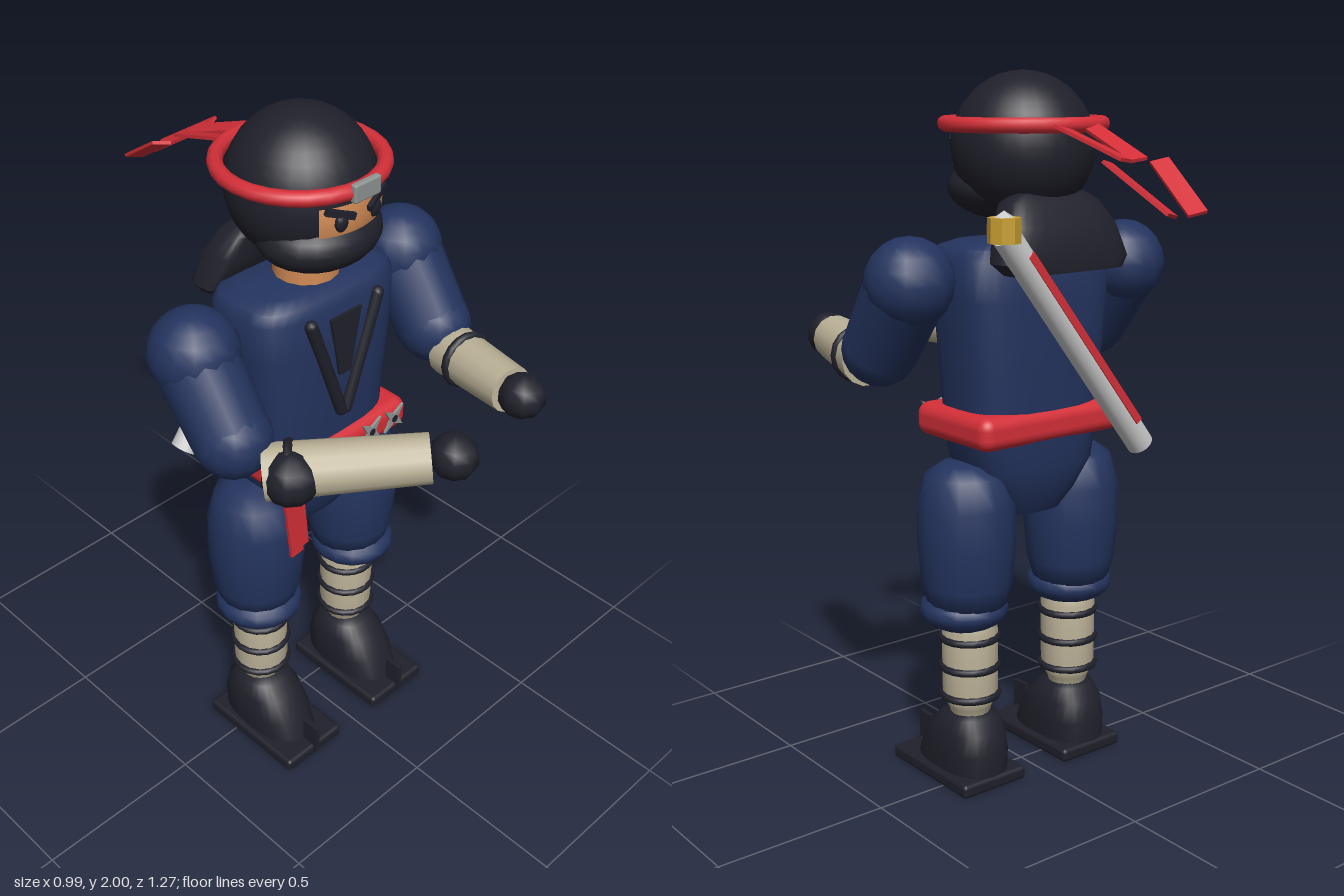
import * as THREE from 'three';
import { toCreasedNormals } from 'three/addons/utils/BufferGeometryUtils.js';
import { RoundedBoxGeometry } from 'three/addons/geometries/RoundedBoxGeometry.js';

const V = (x, y, z) => new THREE.Vector3(x, y, z);
const UP = V(0, 1, 0);

function material(name, color) {
  const m = new THREE.MeshStandardMaterial({ color, side: THREE.DoubleSide });
  m.name = name;
  return m;
}

// Closed solid through horizontal rounded-rectangle rings [y, halfWidth, halfDepth, zCentre], bottom to top
function loft(rings, power = 3, n = 28) {
  const pos = [], idx = [];
  const soft = (v) => Math.sign(v) * Math.abs(v) ** (2 / power);
  for (const [y, w, d, z = 0] of rings)
    for (let i = 0; i < n; i++) {
      const t = (i / n) * Math.PI * 2;
      pos.push(w * soft(Math.cos(t)), y, z + d * soft(Math.sin(t)));
    }
  const last = rings.length - 1, base = rings.length * n;
  for (const r of [rings[0], rings[last]]) pos.push(0, r[0], r[3] ?? 0);
  for (let i = 0; i < n; i++) {
    const k = (i + 1) % n;
    for (let j = 0; j < last; j++) {
      const a = j * n + i, b = a + n, c = j * n + k, d = c + n;
      idx.push(a, b, c, c, b, d);
    }
    idx.push(base, i, k, base + 1, last * n + k, last * n + i);
  }
  const g = new THREE.BufferGeometry();
  g.setAttribute('position', new THREE.Float32BufferAttribute(pos, 3));
  g.setIndex(idx);
  return toCreasedNormals(g, 0.8);
}

export function createModel() {
  const root = new THREE.Group();
  root.name = 'maskedWarrior';
  const navy = material('navy cloth', 0x24345f);
  const black = material('black cloth', 0x20202b);
  const red = material('red cloth', 0xd42f38);
  const beige = material('beige wrap', 0xbcb298);
  const skin = material('skin', 0xd08a55);
  const white = material('pale scabbard', 0xcdcdcd);
  const steel = material('steel', 0x8f9592);
  const gold = material('gold', 0xc9a032);

  const add = (name, geo, mat, x = 0, y = 0, z = 0, parent = root) => {
    const m = new THREE.Mesh(geo, mat);
    m.name = name;
    m.position.set(x, y, z);
    parent.add(m);
    return m;
  };
  const ball = (name, mat, c, r, s = [1, 1, 1], seg = 14) => {
    const m = add(name, new THREE.SphereGeometry(r, seg, Math.ceil(seg * 0.7)), mat, ...c);
    m.scale.set(...s);
    return m;
  };
  const aim = (m, p, q) => {
    m.position.copy(p).add(q).multiplyScalar(0.5);
    m.quaternion.setFromUnitVectors(UP, q.clone().sub(p).normalize());
    return m;
  };
  const limb = (name, mat, p, q, rp, rq, seg = 14) =>
    aim(add(name, new THREE.CylinderGeometry(rq, rp, p.distanceTo(q), seg), mat), p, q);
  const strip = (name, mat, p, q, w, d) =>
    aim(add(name, new THREE.BoxGeometry(w, p.distanceTo(q), d), mat), p, q);

  // Torso, hips and neck
  add('torso', loft([[1.05, 0.215, 0.145], [1.2, 0.225, 0.15], [1.4, 0.245, 0.155],
    [1.51, 0.25, 0.148], [1.54, 0.235, 0.135], [1.555, 0.19, 0.1]], 3.5), navy);
  add('hips', loft([[0.79, 0.1, 0.09], [0.85, 0.145, 0.125], [0.93, 0.2, 0.145],
    [1.04, 0.22, 0.15]], 3), navy);
  add('neck', new THREE.CylinderGeometry(0.085, 0.09, 0.14, 14), skin, 0, 1.58, 0.01);

  // Head, mask and back of the hood
  ball('head', black, [0, 1.8, -0.01], 0.2, [0.98, 1, 0.98], 28);
  ball('mask', black, [0, 1.69, 0.055], 0.17, [1.04, 0.53, 0.88], 22);
  add('hoodDrape', loft([[1.48, 0.19, 0.045, -0.185], [1.51, 0.215, 0.063, -0.168],
    [1.6, 0.185, 0.07, -0.145], [1.66, 0.15, 0.055, -0.122], [1.685, 0.11, 0.025, -0.12]], 4), black);

  // Face opening, eyes and brows
  add('face', new THREE.SphereGeometry(0.207, 16, 4, Math.PI / 2 - 0.56, 1.12,
    Math.PI / 2 - 0.19, 0.38), skin, 0, 1.785, -0.008);
  for (const s of [1, -1]) {
    ball('eye', black, [s * 0.057, 1.783, 0.19], 0.023, [0.9, 1.15, 0.6], 10);
    const brow = add('brow', new THREE.BoxGeometry(0.085, 0.018, 0.012), black, s * 0.063, 1.808, 0.192);
    brow.rotation.set(0, s * 0.3, s * 0.35);
  }

  // Headband with plate and trailing ribbons
  const band = add('headband', new THREE.TorusGeometry(0.212, 0.021, 10, 28), red, 0, 1.86, -0.012);
  band.rotation.x = Math.PI / 2;
  add('headbandPlate', new RoundedBoxGeometry(0.09, 0.05, 0.02, 2, 0.006), steel, 0, 1.862, 0.214);
  for (const s of [1, -1]) {
    strip('ribbonUpper', red, V(s * 0.052, 1.858, -0.22), V(s * 0.02, 1.78, -0.445), 0.05, 0.009);
    strip('ribbonLower', red, V(s * 0.088, 1.777, -0.447), V(s * 0.043, 1.658, -0.632), 0.052, 0.009);
  }

  // Crossed collar
  for (const s of [1, -1]) {
    const lapel = add('lapel', new THREE.CapsuleGeometry(0.018, 0.33, 4, 10), black);
    aim(lapel, V(s * 0.125, 1.505, 0.153), V(s * 0.005, 1.17, 0.155));
  }
  const bib = new THREE.Shape([[-0.055, 1.485], [-0.02, 1.3], [0.02, 1.3], [0.055, 1.485]]
    .map(([x, y]) => new THREE.Vector2(x, y)));
  add('undershirt', new THREE.ExtrudeGeometry(bib, { depth: 0.009, bevelEnabled: false }), black, 0, 0, 0.152);

  // Sash, knot and tails
  add('sash', new RoundedBoxGeometry(0.5, 0.095, 0.33, 4, 0.035), red, 0, 1.052, 0.005);
  ball('sashKnot', red, [-0.19, 1.05, 0.16], 0.052, [1, 0.9, 0.55]);
  strip('sashTail', red, V(-0.215, 1.04, 0.166), V(-0.185, 0.78, 0.166), 0.045, 0.01);
  strip('sashTail', red, V(-0.185, 1.04, 0.16), V(-0.16, 0.79, 0.16), 0.045, 0.01);

  // Throwing stars
  const star = new THREE.Shape();
  for (let i = 0; i < 8; i++) {
    const r = i % 2 ? 0.016 : 0.05, a = Math.PI / 4 + (i * Math.PI) / 4;
    star[i ? 'lineTo' : 'moveTo'](r * Math.cos(a), r * Math.sin(a));
  }
  for (const x of [0.095, 0.185]) {
    add('throwingStar', new THREE.ExtrudeGeometry(star, { depth: 0.008, bevelEnabled: false }), steel, x, 1.06, 0.169);
    add('starCentre', new THREE.CircleGeometry(0.012, 10), black, x, 1.06, 0.179);
  }

  // Sword across the back
  const tip = V(-0.258, 0.972, -0.218), mouth = V(0.225, 1.59, -0.22);
  limb('scabbard', white, tip, mouth, 0.038, 0.038, 16);
  strip('scabbardCord', red, V(-0.215, 1.05, -0.254), V(0.17, 1.54, -0.254), 0.022, 0.012);
  add('guard', toCreasedNormals(new THREE.CylinderGeometry(0.044, 0.044, 0.065, 8), 0.5), gold, 0.235, 1.605, -0.227);
  add('pommel', new THREE.ConeGeometry(0.03, 0.02, 6), white, 0.235, 1.645, -0.227);

  // Arms: the two forearms take different poses
  const arms = [
    { s: 1, wrist: V(0.315, 1.245, 0.47), elbow: V(0.37, 1.225, 0.21), hand: [0.31, 1.25, 0.51], t: 0.27 },
    { s: -1, wrist: V(-0.06, 1.25, 0.52), elbow: V(-0.36, 1.205, 0.23), hand: [-0.02, 1.257, 0.56], t: 0.16 },
  ];
  for (const { s, wrist, elbow, hand, t } of arms) {
    ball('shoulder', navy, [s * 0.375, 1.46, -0.005], 0.122);
    limb('upperArm', navy, V(s * 0.378, 1.43, 0.015), V(s * 0.378, 1.265, 0.135), 0.112, 0.105);
    ball('sleeveEnd', navy, [s * 0.378, 1.27, 0.135], 0.106);
    limb('forearm', beige, elbow, wrist, 0.076, 0.066);
    ball('hand', black, hand, 0.067, [0.95, 0.95, 1], 9);
    const ring = add('forearmBand', new THREE.TorusGeometry(0.071, 0.013, 8, 16), black);
    ring.position.lerpVectors(elbow, wrist, t);
    ring.quaternion.setFromUnitVectors(V(0, 0, 1), wrist.clone().sub(elbow).normalize());
  }
  ball('elbowPad', black, [-0.335, 1.212, 0.3], 0.08, [0.95, 0.95, 0.95], 10);

  // Legs
  const thigh = [[0, 0.95], [0.07, 0.945], [0.115, 0.915], [0.138, 0.83], [0.141, 0.72], [0.13, 0.6], [0.11, 0.53], [0, 0.53]]
    .reverse().map(([r, y]) => new THREE.Vector2(r, y));
  const shin = [[0.055, 0.2], [0.062, 0.225], [0.08, 0.255], [0.081, 0.46], [0.06, 0.5]]
    .map(([r, y]) => new THREE.Vector2(r, y));
  for (const s of [1, -1]) {
    const leg = new THREE.Group();
    leg.name = s > 0 ? 'leftLeg' : 'rightLeg';
    leg.position.set(s * 0.183, 0, 0.005);
    root.add(leg);
    add('thigh', new THREE.LatheGeometry(thigh, 16), navy, s * 0.008, 0, 0, leg);
    add('kneeCuff', new THREE.SphereGeometry(0.128, 16, 10), navy, s * 0.012, 0.52, 0.01, leg).scale.y = 0.5;
    add('shin', new THREE.LatheGeometry(shin, 16), beige, 0, 0, 0, leg);
    for (const y of [0.435, 0.348, 0.262]) {
      const wrap = add('shinBand', new THREE.TorusGeometry(0.08, 0.011, 8, 18), black, 0, y, 0, leg);
      wrap.rotation.x = Math.PI / 2;
    }
    // Boot, flat sole and split toe ridge
    add('boot', loft([[0.03, 0.093, 0.155, 0.04], [0.1, 0.096, 0.14, 0.026], [0.16, 0.09, 0.112, 0.012],
      [0.2, 0.072, 0.078, 0.005], [0.213, 0.045, 0.05, 0.005]], 2.6), black, 0, 0, 0, leg);
    add('sole', new RoundedBoxGeometry(0.22, 0.04, 0.36, 2, 0.012), black, 0, 0.02, 0.06, leg);
    add('toeRidge', new THREE.BoxGeometry(0.014, 0.1, 0.055), black, 0, 0.068, 0.222, leg);
  }
  return root;
}
